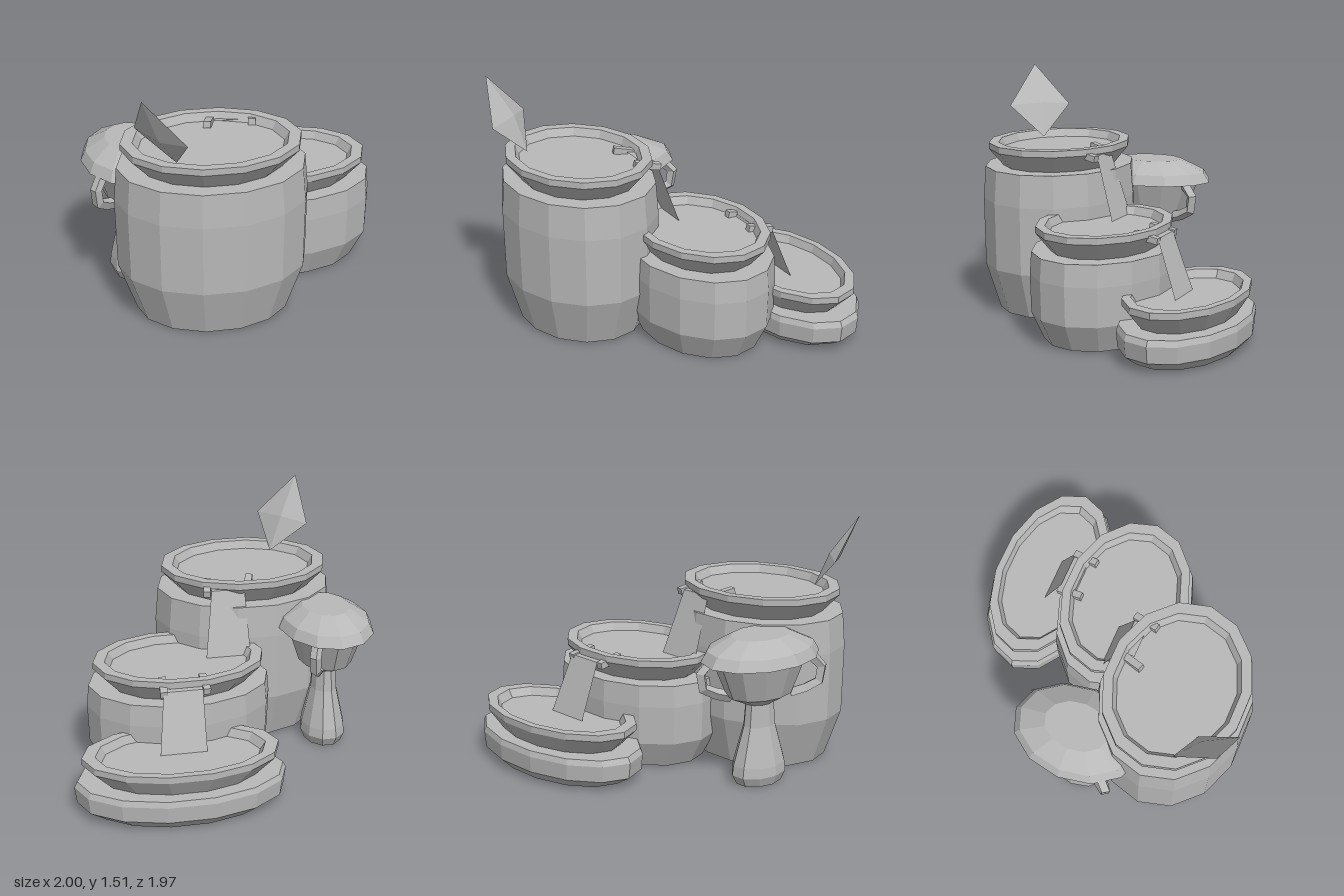
import * as THREE from 'three';

const stone = new THREE.MeshStandardMaterial({ color: 0xb8b8b8, side: THREE.DoubleSide });
stone.name = 'grey stone';

// Faceted mesh: split every face so each gets its own normal
function faceted(name, geometry) {
  const g = geometry.index ? geometry.toNonIndexed() : geometry;
  g.computeVertexNormals();
  const mesh = new THREE.Mesh(g, stone);
  mesh.name = name;
  return mesh;
}

// Oval lathe: profile of [radius fraction, height], widened to rx and rz
function ovalLathe(name, profile, sides, rx, rz, x, z) {
  const points = profile.map(([r, y]) => new THREE.Vector2(r, y));
  const g = new THREE.LatheGeometry(points, sides, Math.PI / 2);
  g.scale(rx, 1, rz);
  const mesh = faceted(name, g);
  mesh.position.set(x, 0, z);
  return mesh;
}

// Bottomless barrel-shaped pot with a flared basin on top, filled to just below its rim
function pot(name, body, rx, rz, x, z) {
  const group = new THREE.Group();
  group.name = name;
  const top = body[body.length - 1][1];
  group.add(
    ovalLathe('potBody', [...body, [0.74, top]], 14, rx, rz, x, z),
    ovalLathe('potRim', [[0.74, top], [0.925, top + 0.11], [0.925, top + 0.15],
      [0.8, top + 0.15], [0.75, top + 0.1]], 14, rx, rz, x, z),
    ovalLathe('waterSurface', [[0.76, top + 0.1], [0, top + 0.1]], 14, rx, rz, x, z)
  );
  return group;
}

// Sheet of water built from rows of [xMin, xMax, y, z]
function waterSheet(name, rows) {
  const g = new THREE.BufferGeometry();
  const positions = [], index = [];
  rows.forEach(([x0, x1, y, z], i) => {
    positions.push(x0, y, z, x1, y, z);
    const a = 2 * i;
    if (i) index.push(a - 2, a - 1, a, a - 1, a + 1, a);
  });
  g.setAttribute('position', new THREE.Float32BufferAttribute(positions, 3));
  g.setIndex(index);
  return faceted(name, g);
}

// Small bar poking through the rim beside the spout, dropping slightly outward
function peg(x, y, z, yaw) {
  const mesh = faceted('spoutPeg', new THREE.BoxGeometry(0.045, 0.04, 0.165));
  mesh.position.set(x, y, z);
  mesh.rotation.set(-0.18, yaw, 0, 'YXZ');
  return mesh;
}

// Thin kite-shaped blade with a low ridge on both sides
function blade() {
  const top = [-0.715, 1.51, 0.92], right = [-0.473, 1.25, 0.985];
  const bottom = [-0.505, 1.05, 0.75], left = [-0.733, 1.25, 0.67];
  const front = [-0.617, 1.232, 0.855], back = [-0.587, 1.27, 0.793];
  const ring = [top, left, bottom, right];
  const positions = [];
  ring.forEach((p, i) => {
    const q = ring[(i + 1) % 4];
    positions.push(...p, ...q, ...front, ...q, ...p, ...back);
  });
  const g = new THREE.BufferGeometry();
  g.setAttribute('position', new THREE.Float32BufferAttribute(positions, 3));
  return faceted('leafBlade', g);
}

// Overhanging domed lid on a tapered bowl and flared stem, with two opposite handles
function pedestal() {
  const x = -0.7, z = 0.05;
  const group = new THREE.Group();
  group.name = 'domedPedestal';
  group.add(
    ovalLathe('stem', [[0, 0], [0.4, 0], [0.48, 0.06], [0.46, 0.12], [0.28, 0.36], [0.25, 0.5]],
      10, 0.3, 0.4, x, z),
    ovalLathe('bowl', [[0.25, 0.5], [0.56, 0.56], [0.8, 0.78]], 12, 0.3, 0.41, x, z),
    ovalLathe('lid', [[0.8, 0.78], [1, 0.785], [0.9, 0.85], [0.5, 0.925], [0, 0.925]],
      12, 0.3, 0.41, x, z)
  );
  // Sideways and lengthways reach of each handle
  for (const [dx, dz] of [[-0.23, 0.28], [0.15, -0.34]]) {
    const path = new THREE.CatmullRomCurve3([
      [0.85, 0.78], [1, 0.74], [0.98, 0.62], [0.5, 0.55]
    ].map(([r, y]) => new THREE.Vector3(x + r * dx, y, z + r * dz)));
    group.add(faceted('handle', new THREE.TubeGeometry(path, 4, 0.035, 4)));
  }
  return group;
}

export function createModel() {
  const model = new THREE.Group();
  model.name = 'potFountain';

  // Three pots, stepping down toward the back
  model.add(
    pot('largePot', [[0.8, 0], [0.985, 0.3], [1, 0.73], [0.97, 0.935]], 0.58, 0.473, -0.267, 0.515),
    pot('mediumPot', [[0.82, 0], [0.985, 0.17], [1, 0.41], [0.98, 0.545]], 0.578, 0.425, 0.265, -0.045),
    pot('smallPot', [[0.81, 0], [0.98, 0.065], [1, 0.165], [0.97, 0.2]], 0.643, 0.372, 0.357, -0.625)
  );

  // Spouts and the water falling from pot to pot
  model.add(
    peg(-0.23, 1.045, 0.2, -0.3), peg(0.035, 1.04, 0.19, -0.2),
    peg(0.165, 0.65, -0.385, 0), peg(0.42, 0.65, -0.385, -0.1),
    waterSheet('upperFall', [[-0.2, 0.02, 1.05, 0.21], [-0.19, 0.02, 1.04, 0.12], [-0.205, 0.08, 0.64, -0.01]]),
    waterSheet('lowerFall', [[0.19, 0.42, 0.66, -0.36], [0.19, 0.43, 0.65, -0.46], [0.19, 0.475, 0.3, -0.59]])
  );

  model.add(blade(), pedestal());
  return model;
}
